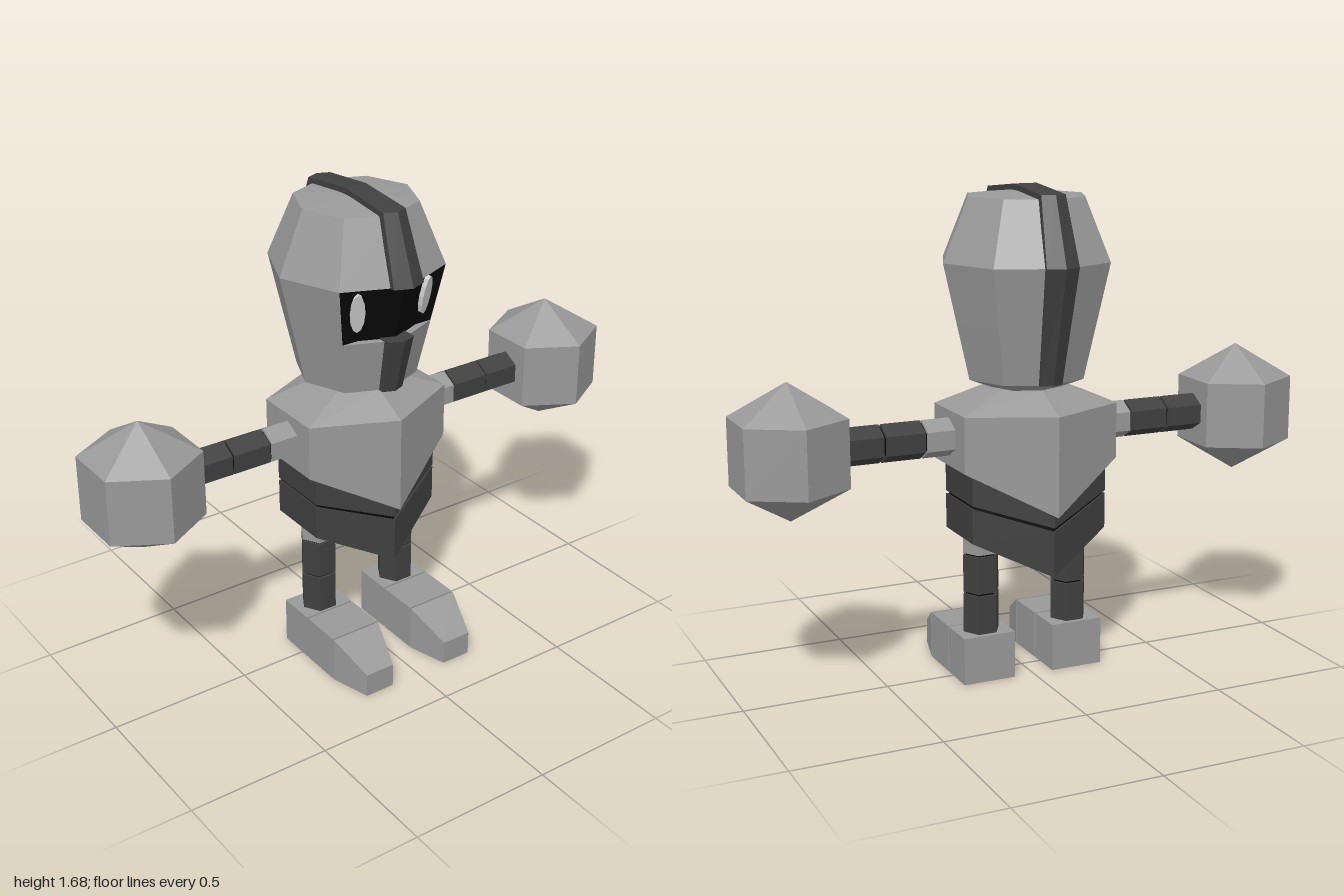
import * as THREE from 'three';

const mat = (color) => new THREE.MeshStandardMaterial({ color, flatShading: true, side: THREE.DoubleSide });
const CZ = -0.033; // z of the body axis

// Ring of n corners, starting at the front and turning toward +x
function ring(n, y, rx, rz = rx) {
  return Array.from({ length: n }, (_, i) => {
    const a = (i / n) * Math.PI * 2;
    return [Math.sin(a) * rx, y, Math.cos(a) * rz];
  });
}

// Hexagon with corners at front and back; those corners sit at yTip, the sides at ySide
function hex(hx, rz, ySide, yTip = ySide) {
  return ring(6, ySide, hx / Math.sin(Math.PI / 3), rz).map(([x, y, z], i) => [x, i % 3 === 0 ? yTip : y, z]);
}

// Faceted skin through rings listed bottom to top, with optional caps and left-out panels
function loft(rings, { caps = true, skip = () => false } = {}) {
  const pos = [];
  const tri = (a, b, c) => pos.push(...a, ...b, ...c);
  const n = rings[0].length;
  for (let i = 0; i < rings.length - 1; i++) {
    for (let j = 0; j < n; j++) {
      if (skip(i, j)) continue;
      const k = (j + 1) % n, lo = rings[i], hi = rings[i + 1];
      tri(lo[j], lo[k], hi[k]);
      tri(lo[j], hi[k], hi[j]);
    }
  }
  if (caps) {
    const lo = rings[0], hi = rings[rings.length - 1];
    for (let j = 1; j < n - 1; j++) {
      tri(lo[0], lo[j + 1], lo[j]);
      tri(hi[0], hi[j], hi[j + 1]);
    }
  }
  const g = new THREE.BufferGeometry();
  g.setAttribute('position', new THREE.Float32BufferAttribute(pos, 3));
  g.computeVertexNormals();
  return g;
}

export function createModel() {
  const root = new THREE.Group();
  const grey = mat(0x999999), dark = mat(0x404040), black = mat(0x080808), white = mat(0xf0f0f0);

  function add(name, geometry, material, x = 0, y = 0, z = 0, parent = root) {
    const m = new THREE.Mesh(geometry, material);
    m.name = name;
    m.position.set(x, y, z);
    parent.add(m);
    return m;
  }

  // Torso, waist and pelvis
  add('torso', loft([hex(0.278, 0.258, 0.755, 0.607), hex(0.278, 0.258, 0.945), hex(0.12, 0.13, 1.01)]), grey, 0, 0, CZ);
  add('waist', loft([hex(0.245, 0.23, 0.64, 0.565), hex(0.245, 0.23, 0.77, 0.7)]), dark, 0, 0, CZ);
  add('waistGap', loft([hex(0.235, 0.22, 0.6, 0.53), hex(0.235, 0.22, 0.66, 0.59)]), black, 0, 0, CZ);
  add('pelvis', loft([hex(0.245, 0.228, 0.51, 0.395), hex(0.245, 0.228, 0.63, 0.552)]), dark, 0, 0, CZ);

  // Helmet with a two-panel opening at the front
  const head = new THREE.Group();
  head.name = 'head';
  head.position.z = CZ;
  root.add(head);
  const open = (j) => j === 0 || j === 7;
  const profile = [[1.0, 0.1], [1.04, 0.204], [1.23, 0.248], [1.43, 0.294], [1.64, 0.205], [1.66, 0.001]];
  add('helmet', loft(profile.map(([y, r]) => ring(8, y, r)), { skip: (i, j) => i === 2 && open(j) }), grey, 0, 0, 0, head);
  for (const [y, r] of [[1.23, 0.248], [1.43, 0.294]]) {
    add('visorLedge', loft([ring(8, y, r), ring(8, y, r * 0.88)], { caps: false, skip: (i, j) => !open(j) }), grey, 0, 0, 0, head);
  }
  const visorRing = (y, r) => {
    const o = ring(8, y, r), i = ring(8, y, r * 0.9);
    return [i[0], i[1], o[1], o[7], i[7]];
  };
  add('visor', loft([visorRing(1.23, 0.247), visorRing(1.43, 0.293)], { caps: false }), black, 0, 0, 0, head);

  // Eyes: thin oval plates on the two visor panels
  for (const s of [-1, 1]) {
    const pivot = new THREE.Group();
    pivot.name = s > 0 ? 'leftEye' : 'rightEye';
    pivot.rotation.y = s * Math.PI / 8;
    head.add(pivot);
    const eye = add('eye', new THREE.CylinderGeometry(1, 1, 0.02, 12).rotateX(Math.PI / 2), white, s * 0.048, 1.34, 0.232, pivot);
    eye.scale.set(0.025, 0.07, 1);
    eye.rotation.x = 0.19;
  }

  // Crest: a ridged strip over the helmet, plus a short one on the chin
  // Rows are [ridge z, y, inner z, inner y, half width, how far the edges lie behind the ridge]
  const strip = (rows) => loft(rows.map(([z, y, zi, yi, w, d]) =>
    [[-w, y, z - d], [0, y, z], [w, y, z - d], [w, yi, zi], [-w, yi, zi]]));
  add('crest', strip([
    [0.313, 1.43, 0.24, 1.43, 0.058, 0.024], [0.226, 1.655, 0.17, 1.61, 0.043, 0.018], [0, 1.677, 0, 1.63, 0.04, 0],
    [-0.226, 1.655, -0.17, 1.61, 0.043, -0.018], [-0.305, 1.43, -0.24, 1.43, 0.058, -0.024],
    [-0.215, 1.04, -0.16, 1.04, 0.04, -0.017],
  ]), dark, 0, 0, 0, head);
  add('chinStrip', strip([[0.224, 1.04, 0.16, 1.04, 0.04, 0.017], [0.273, 1.235, 0.2, 1.235, 0.049, 0.02]]), dark, 0, 0, 0, head);

  // Limb piece: hexagonal bar with corners along +-x, standing between y0 and y1
  const bar = (r, y0, y1) => new THREE.CylinderGeometry(r, r, y1 - y0, 6).rotateY(Math.PI / 6).translate(0, (y0 + y1) / 2, 0);

  for (const s of [-1, 1]) {
    const side = s > 0 ? 'left' : 'right';

    // Arm: bars laid along x, then the big fist
    const arm = new THREE.Group();
    arm.name = side + 'Arm';
    arm.position.set(0, 0.855, -0.03);
    arm.rotation.z = -s * Math.PI / 2;
    root.add(arm);
    add('sleeve', bar(0.065, 0.2, 0.375), grey, 0, 0, 0, arm);
    add('upperArm', bar(0.065, 0.382, 0.517), dark, 0, 0, 0, arm);
    add('forearm', bar(0.065, 0.525, 0.7), dark, 0, 0, 0, arm);
    add('armCore', bar(0.055, 0.2, 0.7), black, 0, 0, 0, arm);
    add(side + 'Fist', loft([[0.63, 0.001], [0.742, 0.198], [0.97, 0.198], [1.085, 0.001]].map(([y, r]) => ring(6, y, r))),
      grey, s * 0.827, 0, -0.028);

    // Leg
    const leg = new THREE.Group();
    leg.name = side + 'Leg';
    leg.position.set(s * 0.165, 0, -0.028);
    root.add(leg);
    add('hip', bar(0.065, 0.445, 0.54), grey, 0, 0, 0, leg);
    add('thigh', bar(0.065, 0.308, 0.438), dark, 0, 0, 0, leg);
    add('shin', bar(0.065, 0.12, 0.3), dark, 0, 0, 0, leg);
    add('legCore', bar(0.055, 0.1, 0.5), black, 0, 0, 0, leg);

    // Foot: heel, middle and tapered toe
    const foot = new THREE.Group();
    foot.name = side + 'Foot';
    foot.position.x = s * 0.165;
    root.add(foot);
    const block = (name, z0, z1, w = 0.187, h = 0.165) =>
      add(name, new THREE.BoxGeometry(w, h, z1 - z0), grey, 0, 0.0825, (z0 + z1) / 2, foot);
    block('heel', -0.102, 0.035);
    block('midFoot', 0.042, 0.193);
    block('footCore', -0.05, 0.205, 0.17, 0.148);
    const toe = block('toe', 0.2, 0.342);
    const p = toe.geometry.attributes.position;
    for (let i = 0; i < p.count; i++) {
      if (p.getZ(i) < 0) continue;
      p.setX(i, p.getX(i) * 0.58);
      if (p.getY(i) > 0) p.setY(i, 0.0025);
    }
    toe.geometry.computeVertexNormals();
  }
  return root;
}
